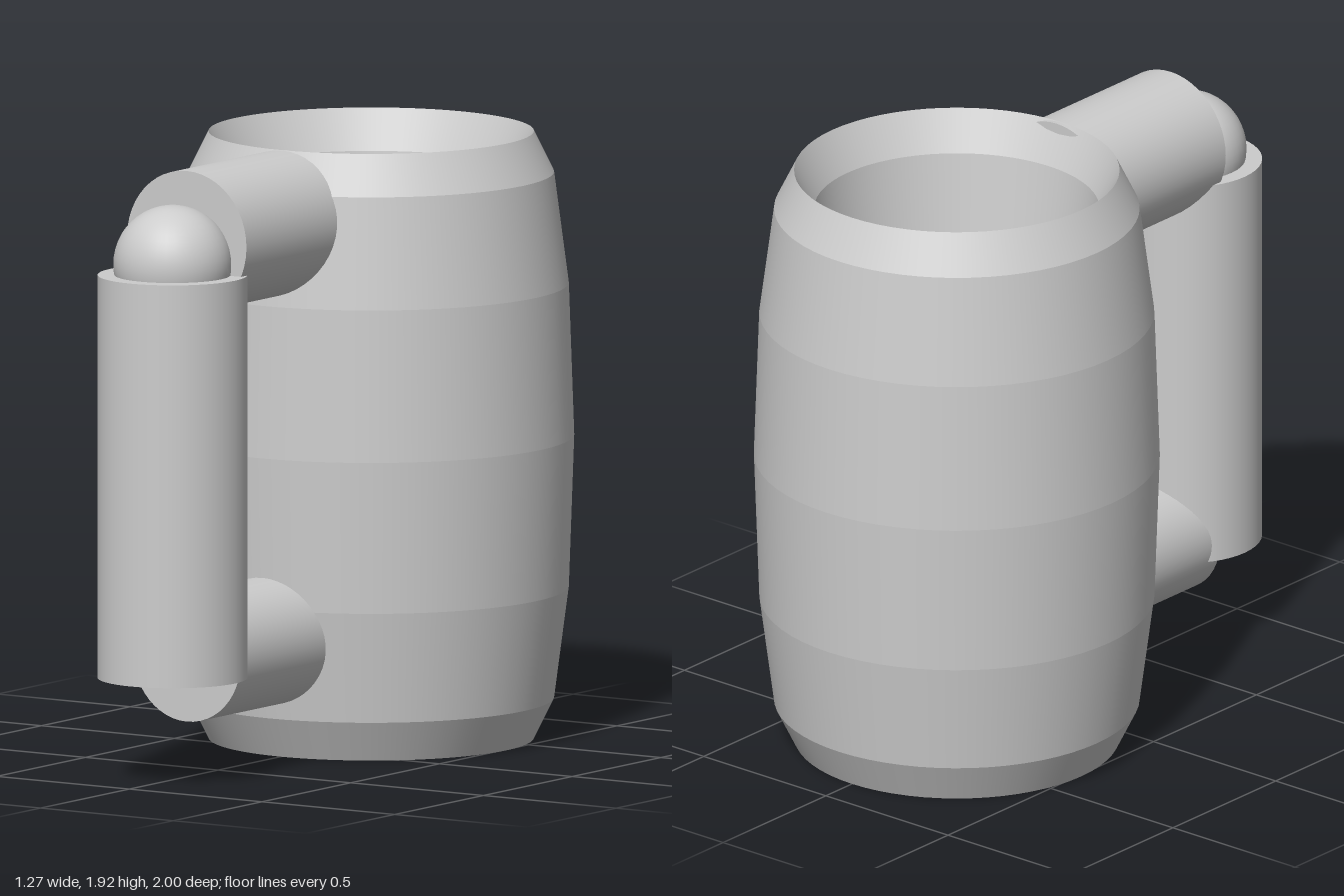
import * as THREE from 'three';
import { mergeGeometries } from 'three/addons/utils/BufferGeometryUtils.js';

export function createModel() {
  const model = new THREE.Group();
  model.name = 'barrelMug';
  const grey = new THREE.MeshStandardMaterial({ color: 0xcccccc });
  grey.name = 'plain grey';

  function add(name, geometry, x, y, z) {
    const mesh = new THREE.Mesh(geometry, grey);
    mesh.name = name;
    mesh.position.set(x, y, z);
    model.add(mesh);
    return mesh;
  }

  const bodyZ = -0.363, handleX = 0.006, gripZ = 0.765;

  // Barrel wall: a tall ring with a 12-sided section, one crisp band per side
  const ring = (i) => {
    const a = (i / 12) * Math.PI * 2;
    return new THREE.Vector2(0.51 + 0.126 * Math.cos(a), 0.96 + 0.96 * Math.sin(a));
  };
  const bands = [];
  for (let i = 0; i < 12; i++) bands.push(new THREE.LatheGeometry([ring(i), ring(i + 1)], 64));
  add('barrelWall', mergeGeometries(bands), 0, 0, bodyZ);

  // Solid floor closing the bottom
  add('floor', new THREE.CylinderGeometry(0.51, 0.51, 0.1, 64), 0, 0.05, bodyZ);

  // Handle: upright grip, thumb ball and two arms reaching into the wall
  add('grip', new THREE.CylinderGeometry(0.235, 0.235, 1.275, 48), handleX, 0.9625, gripZ);
  add('thumbBall', new THREE.SphereGeometry(0.186, 40, 24), handleX, 1.634, gripZ);

  function addArm(name, radius, y) {
    const back = 0.13, front = 0.685;
    const geometry = new THREE.CylinderGeometry(radius, radius, front - back, 48);
    geometry.rotateX(Math.PI / 2);
    add(name, geometry, handleX, y, (front + back) / 2);
  }
  addArm('upperArm', 0.225, 1.694);
  addArm('lowerArm', 0.202, 0.378);

  return model;
}
